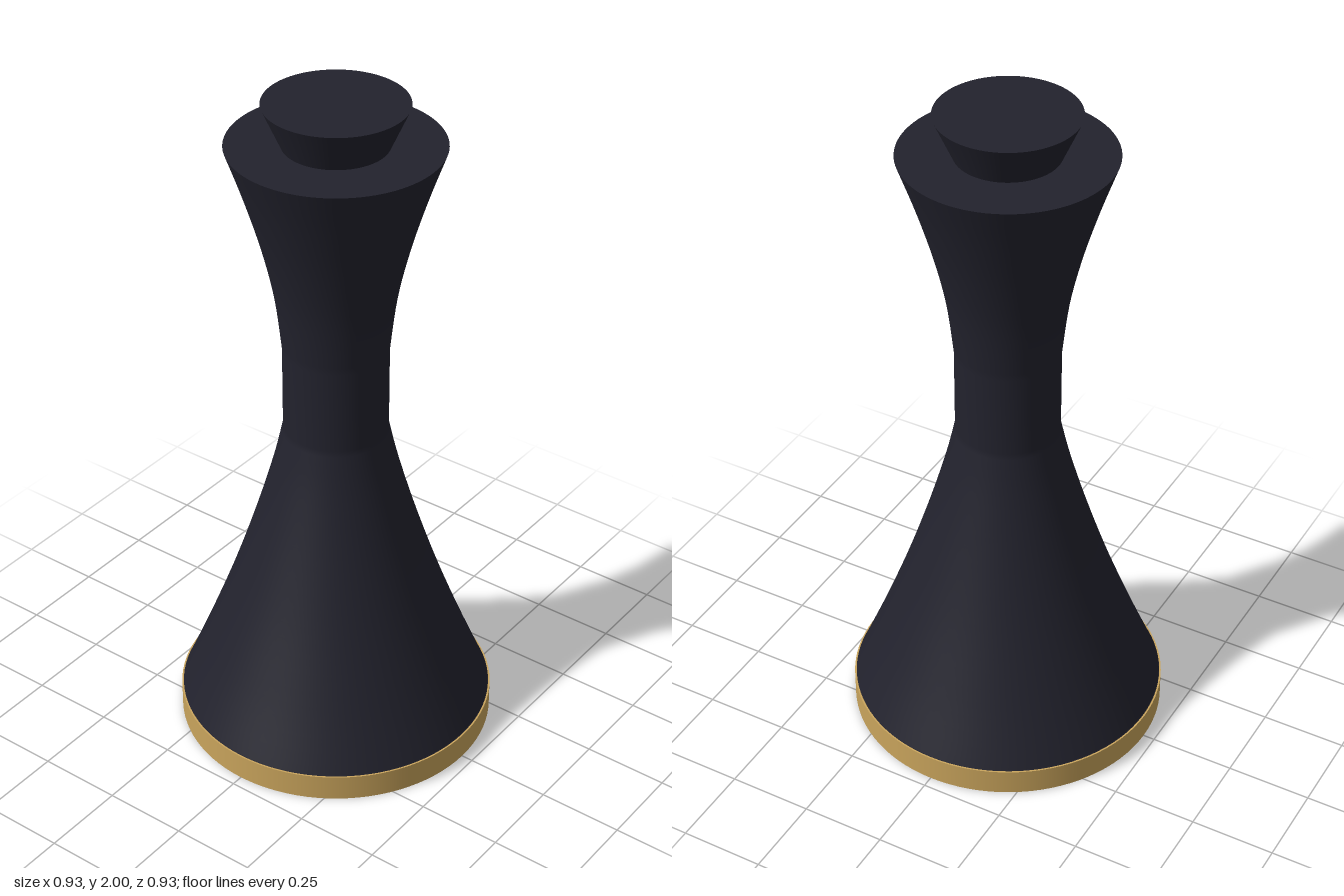
import * as THREE from 'three';

const SEGMENTS = 96;

// Smooth curve through [radius, height] pairs, sampled for a lathe
function flare(pairs, divisions) {
  return new THREE.SplineCurve(pairs.map(([r, y]) => new THREE.Vector2(r, y))).getPoints(divisions);
}

export function createModel() {
  const group = new THREE.Group();

  const dark = new THREE.MeshStandardMaterial({ color: 0x22222d });
  dark.name = 'midnight black';
  const gold = new THREE.MeshStandardMaterial({ color: 0xc9a45c });
  gold.name = 'gold';

  const add = (name, geometry, material, y = 0) => {
    const mesh = new THREE.Mesh(geometry, material);
    mesh.name = name;
    mesh.position.y = y;
    group.add(mesh);
  };

  // Gold foot disc
  add('base', new THREE.CylinderGeometry(0.465, 0.465, 0.08, SEGMENTS), gold, 0.04);

  // Flared skirt, straight waist and flared neck in one turned profile
  const skirt = flare([[0.46, 0.08], [0.385, 0.26], [0.305, 0.47], [0.235, 0.68], [0.18, 0.87], [0.15, 1.0]], 24);
  const neck = flare([[0.15, 1.25], [0.17, 1.42], [0.205, 1.58], [0.252, 1.74], [0.3, 1.88]], 20);
  add('body', new THREE.LatheGeometry([...skirt, ...neck], SEGMENTS), dark);

  // Flat covers closing the two ends of the body
  const skirtTop = new THREE.CircleGeometry(0.46, SEGMENTS).rotateX(-Math.PI / 2);
  add('skirtSeat', skirtTop, dark, 0.082);
  const shoulder = new THREE.CircleGeometry(0.3, SEGMENTS).rotateX(-Math.PI / 2);
  add('shoulder', shoulder, dark, 1.88);

  // Tapered stopper, wider at the top
  add('stopper', new THREE.CylinderGeometry(0.2, 0.147, 0.12, SEGMENTS), dark, 1.94);

  return group;
}
